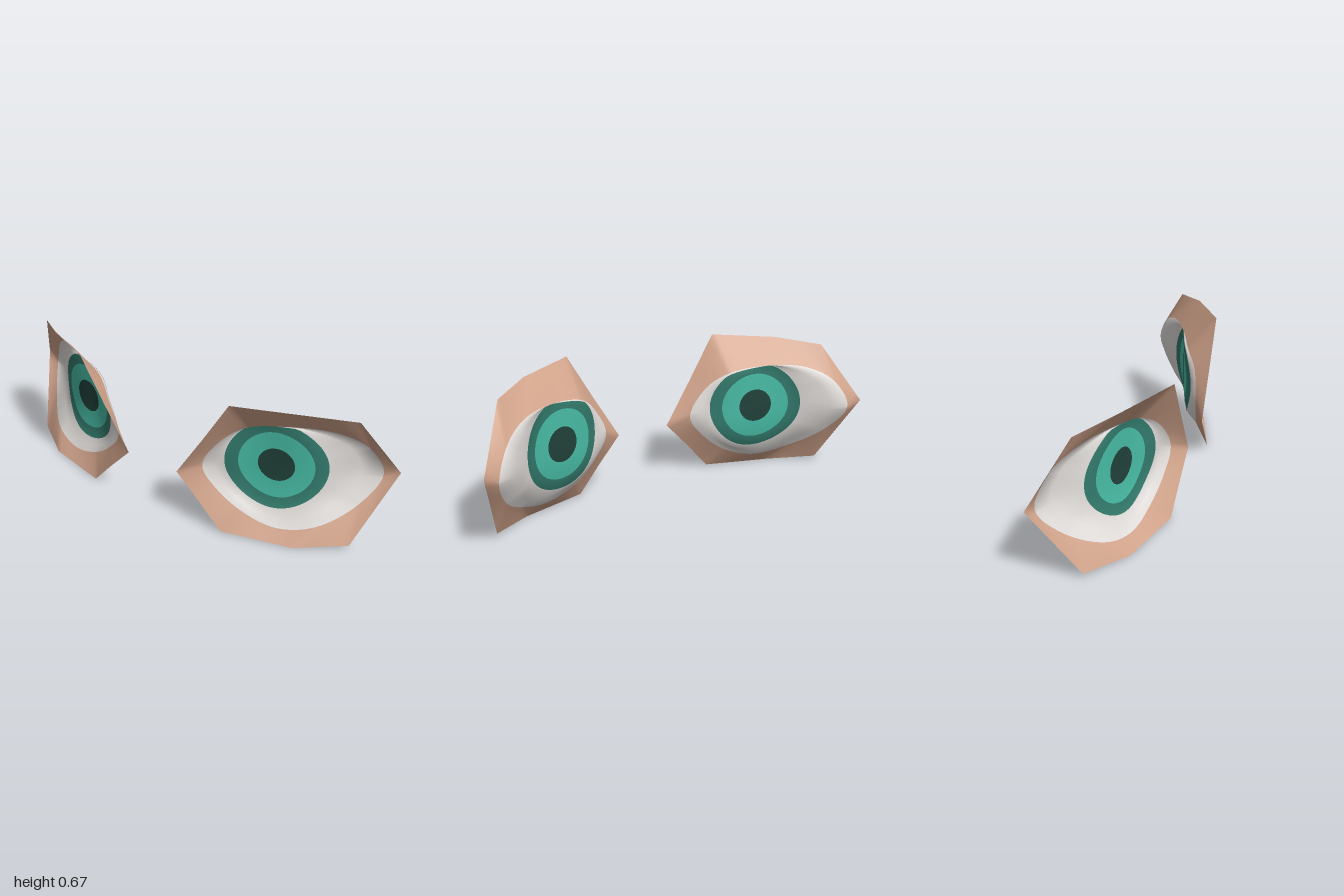
import * as THREE from 'three';

const mat = (name, color) => new THREE.MeshStandardMaterial({ name, color, side: THREE.DoubleSide });

const SAMPLES = 96;
const CX = 0.53, CY = 0.335; // pupil centre

// Edge of the eye white and outer edge of the skin, point by point from the
// inner corner over the top lid to the outer corner and back underneath.
const toPoints = (list) => list.map((p) => new THREE.Vector3(...p));
const whiteEdge = new THREE.CatmullRomCurve3(toPoints([
  [0.235, 0.29, 0.16], [0.31, 0.43, 0.135], [0.40, 0.50, 0.08], [0.55, 0.53, 0.02],
  [0.75, 0.52, -0.08], [0.87, 0.45, -0.16], [0.93, 0.32, -0.20], [0.87, 0.19, -0.11],
  [0.74, 0.09, 0.02], [0.58, 0.055, 0.085], [0.42, 0.10, 0.12], [0.30, 0.19, 0.147],
]), true);
const skinEdge = toPoints([
  [0.135, 0.25, 0.215], [0.27, 0.46, 0.215], [0.40, 0.67, 0.215], [0.54, 0.66, 0.143],
  [0.68, 0.65, 0.07], [0.86, 0.615, -0.065], [1.0, 0.345, -0.215], [0.88, 0.02, -0.03],
  [0.68, 0.002, 0.105], [0.52, 0.005, 0.15], [0.36, 0.008, 0.195], [0.25, 0.13, 0.205],
]);

// Straight-sided counterpart of a closed curve's getPoint
function polygonPoint(points, t) {
  const s = t * points.length, i = Math.floor(s);
  return points[i].clone().lerp(points[(i + 1) % points.length], s - i);
}

// Curved surface of the iris area
function irisPoint(angle, r) {
  const dx = r * Math.cos(angle), dy = r * Math.sin(angle);
  const z = 0.025 - 0.25 * dx - 4 * dx ** 3 - 2.7 * Math.min(dy, 0) ** 3;
  return new THREE.Vector3(CX + dx, CY + dy, z);
}

// Points from the pupil centre out to the skin edge, along one spoke
function spoke(t) {
  const white = whiteEdge.getPoint(t);
  const angle = Math.atan2(white.y - CY, white.x - CX);
  const reach = Math.hypot(white.x - CX, white.y - CY) * 0.985;
  const rim = irisPoint(angle, Math.min(0.21, reach));
  const middle = rim.clone().lerp(white, 0.55);
  const gap = Math.min(1, rim.distanceTo(white) / 0.15);
  middle.z -= 0.025 * gap * Math.cos(angle) ** 2; // hollow beside the iris
  return [
    irisPoint(angle, 0), irisPoint(angle, 0.08), irisPoint(angle, 0.16),
    rim, middle, white, polygonPoint(skinEdge, t),
  ];
}

// One eye: rings joined into bands, each band with its own colour
function eyeGeometry(side) {
  const bandMaterial = [0, 1, 2, 3, 3, 4];
  const rings = bandMaterial.length + 1;
  const position = [], index = [];
  for (let i = 0; i < SAMPLES; i++) {
    for (const p of spoke(i / SAMPLES)) position.push(side * p.x, p.y, p.z);
  }
  const geometry = new THREE.BufferGeometry();
  const face = (a, b, c) => index.push(...(side > 0 ? [a, b, c] : [a, c, b]));
  bandMaterial.forEach((material, k) => {
    const start = index.length;
    for (let i = 0; i < SAMPLES; i++) {
      const a = i * rings + k, b = ((i + 1) % SAMPLES) * rings + k;
      if (k > 0) face(a, b, a + 1);
      face(b, b + 1, a + 1);
    }
    geometry.addGroup(start, index.length - start, material);
  });
  geometry.setAttribute('position', new THREE.Float32BufferAttribute(position, 3));
  geometry.setIndex(index);
  geometry.computeVertexNormals();
  return geometry;
}

export function createModel() {
  const group = new THREE.Group();
  group.name = 'eyes';
  const materials = [
    mat('pupil', 0x21423a), mat('iris', 0x48bda6), mat('irisRim', 0x337a6c),
    mat('eyeWhite', 0xe2dedb), mat('skin', 0xd3a58c),
  ];
  for (const [name, side] of [['leftEye', 1], ['rightEye', -1]]) {
    const eye = new THREE.Mesh(eyeGeometry(side), materials);
    eye.name = name;
    group.add(eye);
  }
  return group;
}
